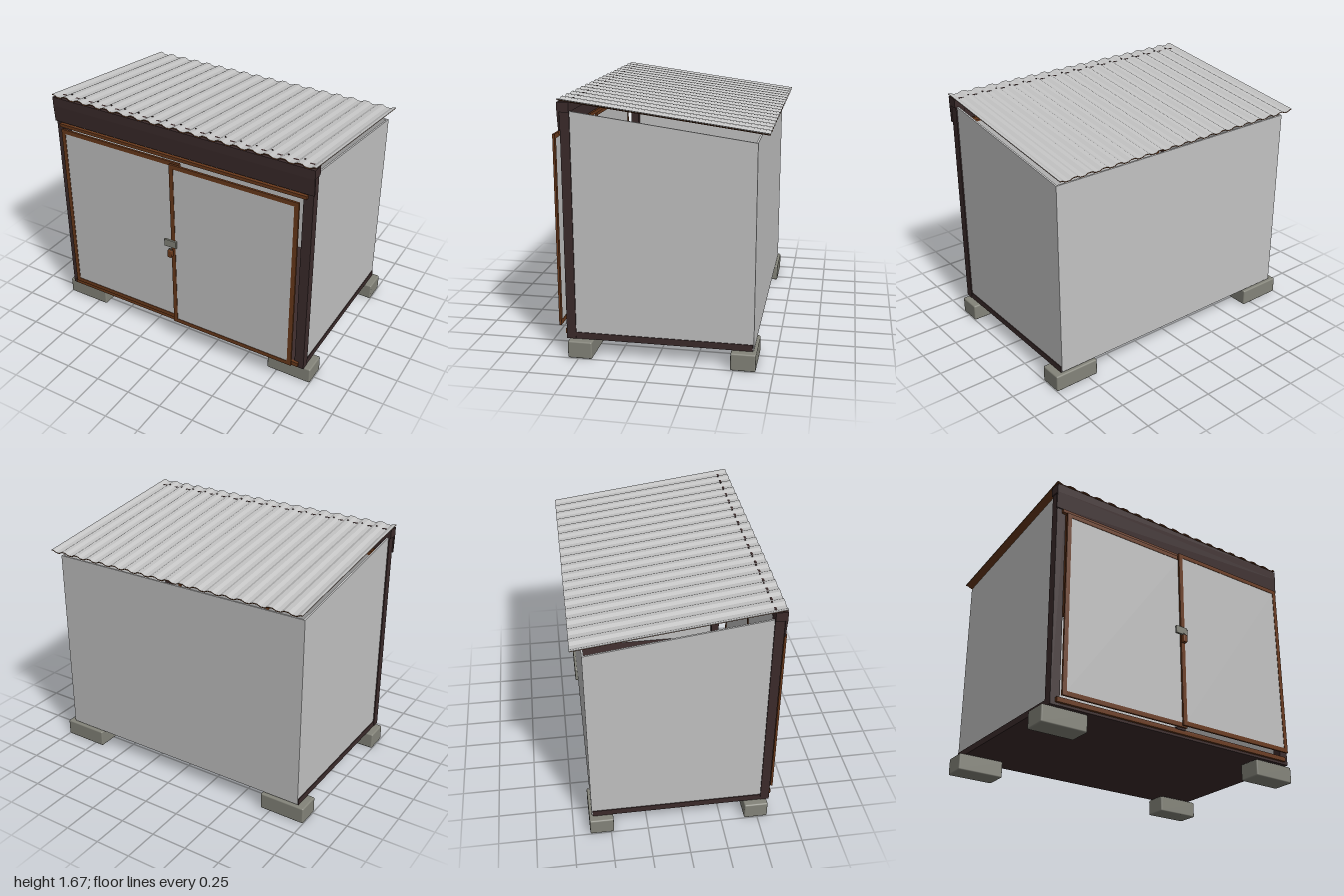
import * as THREE from 'three';
import { RoundedBoxGeometry } from 'three/addons/geometries/RoundedBoxGeometry.js';

function material(name, color) {
  const m = new THREE.MeshStandardMaterial({ color });
  m.name = name;
  return m;
}

export function createModel() {
  const model = new THREE.Group();
  model.name = 'gardenShed';
  const sheet = material('light grey sheet', 0xc2c2c2);
  const brown = material('rust brown', 0x69391b);
  const dark = material('dark brown', 0x3b2b2b);
  const stone = material('stone grey', 0x84847a);

  const add = (name, geometry, mat, parent = model) => {
    const mesh = new THREE.Mesh(geometry, mat);
    mesh.name = name;
    parent.add(mesh);
    return mesh;
  };
  // Box given by its limits on each axis
  const box = (name, mat, [x0, x1], [y0, y1], [z0, z1], parent = model, round = 0) => {
    const size = [x1 - x0, y1 - y0, z1 - z0];
    const g = round ? new RoundedBoxGeometry(...size, 2, round) : new THREE.BoxGeometry(...size);
    const mesh = add(name, g, mat, parent);
    mesh.position.set((x0 + x1) / 2, (y0 + y1) / 2, (z0 + z1) / 2);
    return mesh;
  };
  const shapeOf = (points) => new THREE.Shape(points.map(([x, y]) => new THREE.Vector2(x, y)));
  // Profile of [z, y] points extruded along x from x0
  const alongX = (points, x0, width) => {
    const g = new THREE.ExtrudeGeometry(shapeOf(points.map(([z, y]) => [-z, y])),
      { depth: width, bevelEnabled: false });
    return g.rotateY(Math.PI / 2).translate(x0, 0, 0);
  };

  // Foundation blocks
  for (const s of [-1, 1]) {
    for (const z of [[0.41, 0.57], [-0.64, -0.48]]) {
      box('foundationBlock', stone, s > 0 ? [0.68, 1] : [-1, -0.68], [0, 0.115], z, model, 0.01);
    }
  }

  // Floor, side and back walls
  box('floor', dark, [-0.952, 0.952], [0.117, 0.16], [-0.615, 0.55]);
  const wall = [[0.53, 0.16], [0.53, 1.595], [-0.62, 1.44], [-0.62, 0.16]];
  add('leftWall', alongX(wall, 0.935, 0.012), sheet);
  add('rightWall', alongX(wall, -0.947, 0.012), sheet);
  box('backWall', sheet, [-0.947, 0.947], [0.122, 1.44], [-0.622, -0.61]);

  // Front frame
  for (const s of [-1, 1]) {
    box('frontPost', dark, s > 0 ? [0.89, 0.955] : [-0.955, -0.89], [0.117, 1.652], [0.525, 0.585]);
  }
  box('sill', dark, [-0.955, 0.955], [0.117, 0.16], [0.525, 0.585]);
  add('header', alongX([[0.525, 1.59], [0.525, 1.652], [0.6, 1.652], [0.6, 1.59],
    [0.593, 1.475], [0.585, 1.475], [0.585, 1.59]], -0.963, 1.926), dark);
  box('topRail', brown, [-0.92, 0.92], [1.445, 1.468], [0.583, 0.606]);
  box('bottomRail', brown, [-0.92, 0.92], [0.134, 0.165], [0.583, 0.603]);
  box('centreGuide', dark, [-0.035, 0.035], [0.16, 0.174], [0.585, 0.61]);

  // Sliding doors on two tracks
  const door = (name, x0, x1, z) => {
    const g = new THREE.Group();
    g.name = name;
    model.add(g);
    const y0 = 0.175, y1 = 1.44, w = 0.03, zs = [z - 0.007, z + 0.007];
    for (const x of [x0, x1 - w]) box('doorStile', brown, [x, x + w], [y0, y1], zs, g);
    for (const y of [y0, y1 - w]) box('doorCrossbar', brown, [x0 + w, x1 - w], [y, y + w], zs, g);
    box('doorPanel', sheet, [x0 + w, x1 - w], [y0 + w, y1 - w], [z - 0.004, z + 0.004], g);
  };
  door('rearDoor', -0.895, 0.042, 0.615);
  door('frontDoor', -0.016, 0.895, 0.648);

  // Latch and padlock
  box('latchPlate', stone, [-0.065, 0.028], [0.81, 0.865], [0.652, 0.668], model, 0.004);
  box('padlock', brown, [-0.026, 0.006], [0.745, 0.8], [0.664, 0.694], model, 0.006);
  const shackle = add('shackle', new THREE.TorusGeometry(0.01, 0.003, 6, 12, Math.PI), stone);
  shackle.position.set(-0.01, 0.8, 0.679);

  // Corrugated roof: grey top sheet over a brown underside
  const roof = new THREE.Group();
  roof.name = 'roof';
  const rise = 0.17, run = 1.29, length = Math.hypot(rise, run);
  roof.position.set(0, 1.484, -0.69);
  roof.rotation.x = -Math.atan2(rise, run);
  model.add(roof);
  const pitch = 0.1073, amp = 0.012, ribs = 18, line = [];
  for (let i = 0; i <= ribs; i++) {
    const x = (i - ribs / 2) * pitch;
    if (i > 0) line.push([x - 0.015, amp]);
    else line.push([x, amp]);
    if (i < ribs) line.push([x + 0.015, amp], [x + 0.039, 0], [x + pitch - 0.039, 0]);
    else line.push([x, amp]);
  }
  const layer = (y0, y1) => new THREE.ExtrudeGeometry(shapeOf([
    ...line.map(([x, y]) => [x, y + y0]),
    ...line.map(([x, y]) => [x, y + y1]).reverse(),
  ]), { depth: length, bevelEnabled: false });
  add('roofUnderside', layer(0, 0.003), brown, roof);
  add('roofSheet', layer(0.003, 0.006), [brown, sheet], roof);

  // Roof screws on the ribs near the front edge
  const screw = new THREE.CylinderGeometry(0.006, 0.006, 0.004, 8);
  for (let i = 1; i < ribs; i++) {
    add('roofScrew', screw, dark, roof)
      .position.set((i - ribs / 2) * pitch, amp + 0.008, length - 0.076);
  }
  return model;
}
